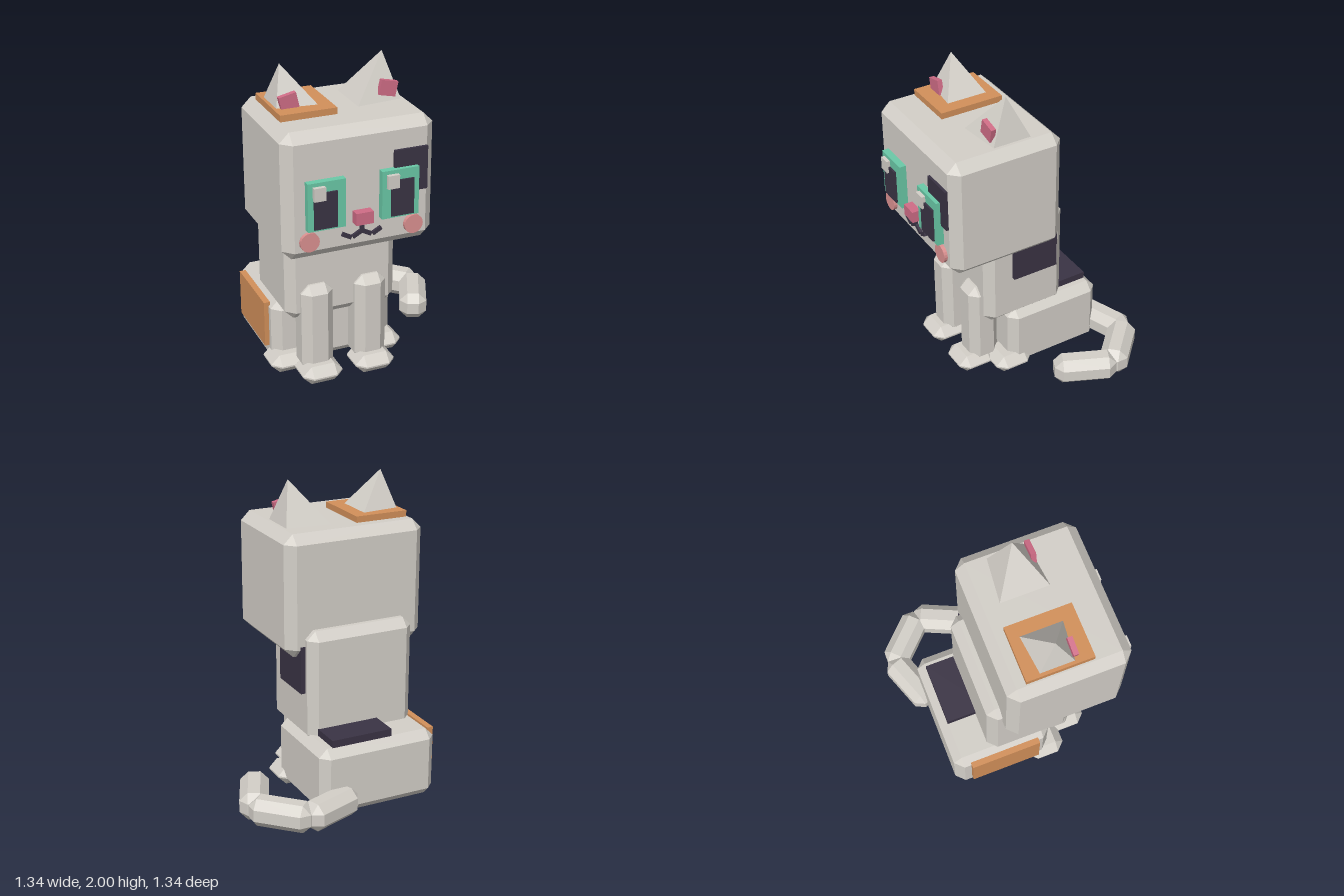
import * as THREE from 'three';
import { ConvexGeometry } from 'three/addons/geometries/ConvexGeometry.js';

const CX = -0.2; // symmetry plane of the head and body

function mat(name, color) {
  const m = new THREE.MeshStandardMaterial({ color, flatShading: true });
  m.name = name;
  return m;
}

// Box with all edges cut at 45 degrees and triangular corners
function chamferBox(w, h, d, c) {
  const pts = [];
  for (const sx of [-1, 1]) for (const sy of [-1, 1]) for (const sz of [-1, 1]) {
    const x = w / 2, y = h / 2, z = d / 2;
    pts.push(
      new THREE.Vector3(sx * x, sy * (y - c), sz * (z - c)),
      new THREE.Vector3(sx * (x - c), sy * y, sz * (z - c)),
      new THREE.Vector3(sx * (x - c), sy * (y - c), sz * z));
  }
  return new ConvexGeometry(pts);
}

export function createModel() {
  const root = new THREE.Group();
  root.name = 'cat';
  const fur = mat('fur', 0xd3cfc8);
  const orange = mat('orangePatch', 0xd2905a);
  const dark = mat('dark', 0x3a3344);
  const teal = mat('eyeTeal', 0x6ac9a7);
  const pink = mat('pink', 0xcf6c86);
  const blush = mat('blush', 0xdb9090);

  function add(name, geo, material, x = 0, y = 0, z = 0) {
    const m = new THREE.Mesh(geo, material);
    m.name = name;
    m.position.set(x, y, z);
    root.add(m);
    return m;
  }
  // Boxes given by their extents on each axis
  function soft(name, [x0, x1], [y0, y1], [z0, z1], c) {
    return add(name, chamferBox(x1 - x0, y1 - y0, z1 - z0, c), fur,
      (x0 + x1) / 2, (y0 + y1) / 2, (z0 + z1) / 2);
  }
  function plain(name, material, [x0, x1], [y0, y1], [z0, z1]) {
    return add(name, new THREE.BoxGeometry(x1 - x0, y1 - y0, z1 - z0), material,
      (x0 + x1) / 2, (y0 + y1) / 2, (z0 + z1) / 2);
  }

  // Main masses
  soft('head', [-0.67, 0.27], [0.95, 1.73], [-0.16, 0.6], 0.06);
  soft('body', [-0.56, 0.16], [0.4, 1.13], [-0.245, 0.32], 0.055);
  soft('haunches', [-0.6, 0.2], [0.01, 0.46], [-0.49, 0.17], 0.055);

  // Legs, paws, ears and cheeks, mirrored about the centre
  for (const s of [-1, 1]) {
    const side = s > 0 ? 'left' : 'right';
    const leg = CX + s * 0.175, hind = CX + s * 0.31;
    soft(side + 'FrontLeg', [leg - 0.103, leg + 0.103], [0.05, 0.64], [0.18, 0.385], 0.052);
    soft(side + 'FrontPaw', [leg - 0.13, leg + 0.13], [0, 0.12], [0.22, 0.475], 0.055);
    soft(side + 'HindPaw', [hind - 0.13, hind + 0.13], [0.005, 0.125], [0.02, 0.275], 0.055);

    // Ear: four-sided pyramid leaning outwards
    add(side + 'Ear', new ConvexGeometry([
      new THREE.Vector3(s * 0.32, 2, 0.156),
      new THREE.Vector3(s * 0.105, 1.73, 0), new THREE.Vector3(s * 0.105, 1.73, 0.31),
      new THREE.Vector3(s * 0.39, 1.73, 0.03), new THREE.Vector3(s * 0.39, 1.73, 0.28),
    ]), fur, CX);
    const inner = add(side + 'InnerEar', new THREE.BoxGeometry(0.108, 0.092, 0.032), pink,
      CX + s * 0.31, 1.805, 0.268);
    inner.rotation.z = -s * 0.22;

    const cheek = add(side + 'Cheek', new THREE.CylinderGeometry(0.059, 0.059, 0.04, 20), blush,
      CX + s * 0.325, 1.075, 0.603);
    cheek.rotation.x = Math.PI / 2;

    // Eye
    const ex = CX + s * 0.228;
    plain(side + 'Eye', teal, [ex - 0.116, ex + 0.116], [1.15, 1.447], [0.58, 0.643]);
    const px = CX + s * 0.238;
    plain(side + 'Pupil', dark, [px - 0.071, px + 0.071], [1.163, 1.385], [0.6, 0.655]);
    const hx = s > 0 ? -0.025 : -0.478;
    plain(side + 'EyeHighlight', fur, [hx - 0.036, hx + 0.036], [1.342, 1.424], [0.61, 0.668]);

    // Mouth strokes
    for (const [dx, y, a] of [[0.03, 1.073, -0.5], [0.095, 1.072, 0.5]]) {
      const bar = add(side + 'MouthStroke', new THREE.BoxGeometry(0.062, 0.024, 0.03), dark,
        CX + s * dx, y, 0.602);
      bar.rotation.z = s * a;
    }
  }
  plain('nose', pink, [-0.255, -0.145], [1.145, 1.22], [0.58, 0.656]);
  plain('mouthStem', dark, [-0.212, -0.188], [1.075, 1.15], [0.587, 0.617]);

  // Coat patches
  plain('headPatch', orange, [-0.6, -0.252], [1.7, 1.77], [-0.04, 0.376]);
  plain('flankPatch', orange, [-0.63, -0.59], [0.13, 0.435], [-0.388, 0.08]);
  plain('facePatch', dark, [0, 0.21], [1.287, 1.553], [0.58, 0.617]);
  plain('sidePatch', dark, [0.145, 0.19], [0.725, 1.03], [-0.167, 0.14]);
  plain('rumpPatch', dark, [-0.3, 0.11], [0.44, 0.505], [-0.438, -0.15]);

  // Tail curling round the left side: x, z, direction x, direction z
  const tail = [[0.175, -0.54, 0.94, -0.337], [0.47, -0.475, 1, 1], [0.522, -0.182, -0.413, 0.911]];
  for (const [x, z, dx, dz] of tail) {
    const seg = add('tailSegment', chamferBox(0.18, 0.18, 0.4, 0.052), fur, x, 0.117, z);
    seg.rotation.y = Math.atan2(dx, dz);
  }
  return root;
}
